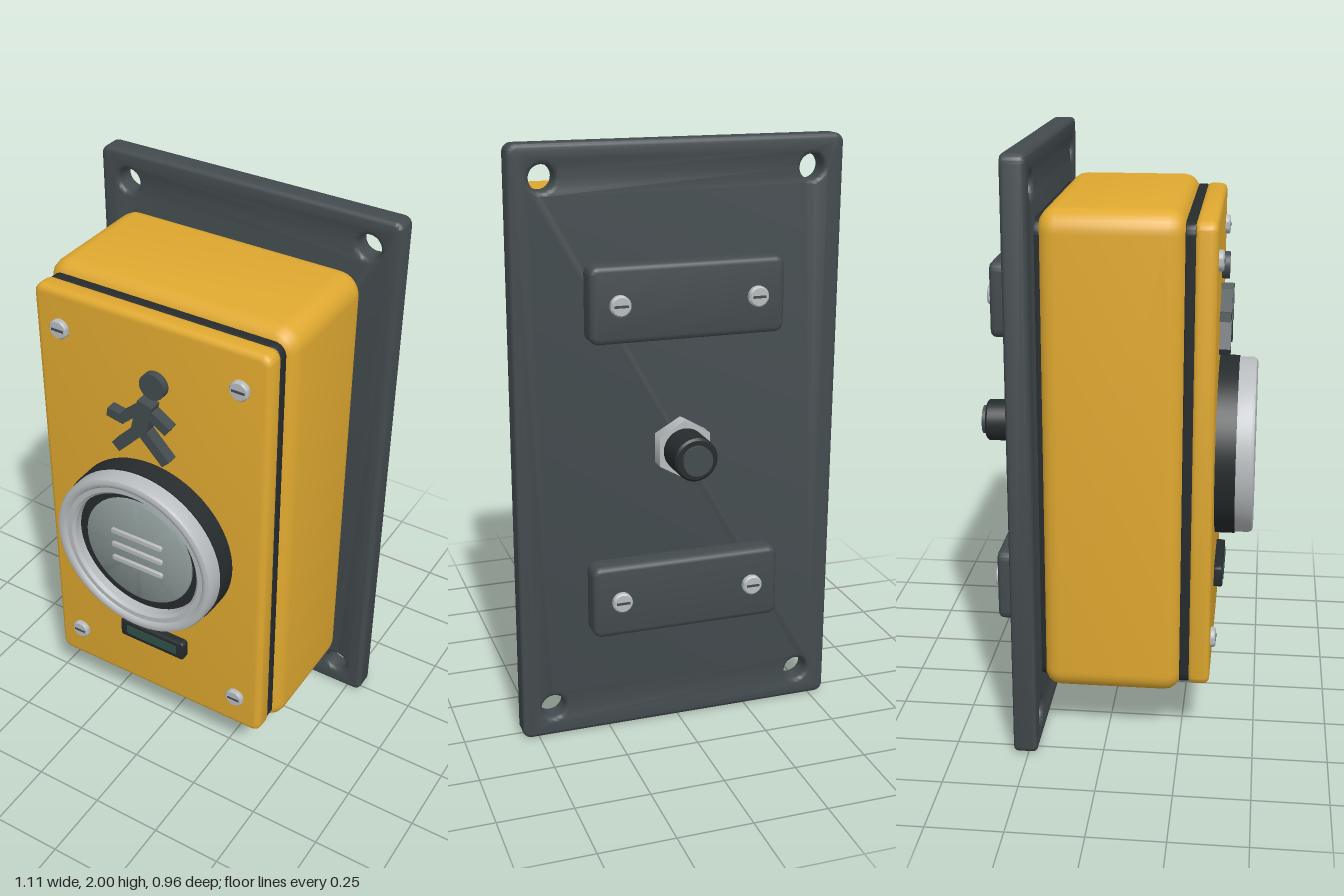
import * as THREE from 'three';
import { toCreasedNormals } from 'three/addons/utils/BufferGeometryUtils.js';

const mat = (color) => new THREE.MeshStandardMaterial({ color });

export function createModel() {
  const root = new THREE.Group();
  const yellow = mat(0xe0a930), slate = mat(0x434b4e), black = mat(0x262b2d);
  const silver = mat(0xb8bcbe), face = mat(0x8b9897), glass = mat(0x2f4f48);

  const add = (name, geometry, material, x = 0, y = 0, z = 0, parent = root) => {
    const mesh = new THREE.Mesh(geometry, material);
    mesh.name = name;
    mesh.position.set(x, y, z);
    parent.add(mesh);
    return mesh;
  };

  // Rounded slab centred in x and y, spanning z = 0..d, with bevelled edges and optional round holes
  const slab = (w, h, d, r, bevel, holes = [], steps = 3) => {
    const s = new THREE.Shape(), a = w / 2 - r, b = h / 2 - r, q = Math.PI / 2;
    s.absarc(a, b, r, 0, q);
    s.absarc(-a, b, r, q, 2 * q);
    s.absarc(-a, -b, r, 2 * q, 3 * q);
    s.absarc(a, -b, r, 3 * q, 4 * q);
    s.closePath();
    for (const [x, y, hr] of holes) {
      const p = new THREE.Path();
      p.absarc(x, y, hr, 0, Math.PI * 2, true);
      s.holes.push(p);
    }
    const g = new THREE.ExtrudeGeometry(s, {
      depth: d - 2 * bevel, bevelEnabled: true, bevelThickness: bevel, bevelSize: bevel,
      bevelOffset: -bevel, bevelSegments: steps, curveSegments: holes.length ? 14 : 4,
    });
    g.translate(0, 0, bevel);
    return toCreasedNormals(g, 0.6);
  };

  // Disc along z, spanning z = 0..d
  const disc = (r, d, sides = 48, r2 = r) =>
    new THREE.CylinderGeometry(r2, r, d, sides).rotateX(Math.PI / 2).translate(0, 0, d / 2);

  // Turned part along z from [radius, z] pairs
  const turned = (pts, sides = 64) => toCreasedNormals(
    new THREE.LatheGeometry(pts.map(([r, z]) => new THREE.Vector2(r, z)), sides).rotateX(Math.PI / 2), 0.7);

  // Slotted screw whose head points along +z (dir 1) or -z (dir -1)
  const screw = (name, x, y, z, dir, h) => {
    const g = new THREE.Group();
    g.name = name;
    g.position.set(x, y, z);
    if (dir < 0) g.rotation.y = Math.PI;
    add('screwHead', turned([[0.034, 0], [0.034, h - 0.005], [0.029, h], [0, h]], 24), silver, 0, 0, 0, g);
    add('screwSlot', new THREE.BoxGeometry(0.045, 0.008, 0.004), slate, 0, 0, h, g);
    root.add(g);
  };

  // Mounting plate with four countersunk holes
  const holes = [];
  for (const x of [-0.447, 0.447]) for (const y of [-0.895, 0.895]) holes.push([x, y, 0.041]);
  add('mountingPlate', slab(1.112, 2, 0.08, 0.03, 0.015, holes), slate, 0, 1, -0.3);

  // Housing, gaskets and cover
  add('rearGasket', slab(0.84, 1.57, 0.03, 0.05, 0.002), black, 0, 1.003, -0.225);
  add('housing', slab(0.902, 1.635, 0.46, 0.075, 0.055, [], 4), yellow, 0, 1.003, -0.21);
  add('frontGasket', slab(0.85, 1.565, 0.032, 0.04, 0.002), black, 0, 1.003, 0.247);
  add('cover', slab(0.856, 1.57, 0.073, 0.035, 0.02), yellow, 0, 1.003, 0.274);
  for (const x of [-0.23, 0.23])
    add('drainSlot', new THREE.BoxGeometry(0.06, 0.01, 0.28), black, x, 0.1885, 0.03);
  for (const x of [-0.33, 0.33])
    for (const y of [0.357, 1.652]) screw('coverScrew', x, y, 0.346, 1, 0.018);

  // Push button
  const button = new THREE.Group();
  button.name = 'pushButton';
  button.position.set(0, 0.94, 0);
  root.add(button);
  add('buttonCollar', disc(0.31, 0.075, 64), black, 0, 0, 0.34, button);
  add('buttonRing', turned([[0.305, 0.412], [0.305, 0.462], [0.3, 0.473], [0.288, 0.478], [0.274, 0.474],
    [0.268, 0.466], [0.25, 0.466], [0.24, 0.456], [0.24, 0.412]]), silver, 0, 0, 0, button);
  add('buttonGap', disc(0.242, 0.015), black, 0, 0, 0.412, button);
  add('buttonFace', turned([[0.207, 0], [0.207, 0.015], [0.2, 0.02], [0, 0.02]]), face, 0, 0, 0.42, button);
  for (const y of [-0.058, 0, 0.058])
    add('buttonRib', slab(0.2, 0.02, 0.014, 0.008, 0.004), silver, 0, y, 0.436, button);

  // Indicator window
  add('indicatorFrame', slab(0.264, 0.076, 0.034, 0.012, 0.006), black, 0, 0.488, 0.343);
  add('indicatorWindow', new THREE.BoxGeometry(0.206, 0.036, 0.008), glass, 0, 0.488, 0.376);

  // Walking figure
  const figure = new THREE.Group();
  figure.name = 'walkingFigure';
  root.add(figure);
  add('head', disc(0.046, 0.028, 32), slate, 0.028, 1.567, 0.345, figure);
  const limb = (name, x1, y1, x2, y2, width, top) => {
    const m = add(name, new THREE.BoxGeometry(Math.hypot(x2 - x1, y2 - y1), width, top - 0.345), slate,
      (x1 + x2) / 2, (y1 + y2) / 2, (top + 0.345) / 2, figure);
    m.rotation.z = Math.atan2(y2 - y1, x2 - x1);
  };
  limb('torso', 0.012, 1.508, -0.018, 1.385, 0.056, 0.39);
  limb('rightUpperArm', 0.0, 1.49, -0.085, 1.415, 0.032, 0.386);
  limb('rightForearm', -0.075, 1.413, -0.138, 1.425, 0.032, 0.384);
  limb('leftArm', 0.01, 1.48, 0.09, 1.426, 0.034, 0.386);
  limb('rightLeg', -0.012, 1.4, -0.11, 1.298, 0.038, 0.385);
  limb('leftLeg', -0.012, 1.4, 0.083, 1.3, 0.038, 0.387);

  // Rear pads with screws
  for (const y of [0.505, 1.505]) {
    add('rearPad', slab(0.652, 0.25, 0.09, 0.03, 0.018), slate, 0, y, -0.385);
    for (const x of [-0.23, 0.23]) screw('padScrew', x, y, -0.384, -1, 0.02);
  }

  // Cable gland
  const gland = new THREE.Group();
  gland.name = 'cableGland';
  gland.position.set(0, 1, -0.295);
  gland.rotation.y = Math.PI;
  root.add(gland);
  add('hexNut', disc(0.1, 0.055, 6), silver, 0, 0, 0, gland);
  add('glandBody', turned([[0.073, 0.05], [0.073, 0.163], [0.066, 0.17], [0, 0.17]], 32), black, 0, 0, 0, gland);
  add('glandTip', disc(0.05, 0.02, 32), slate, 0, 0, 0.165, gland);

  return root;
}
